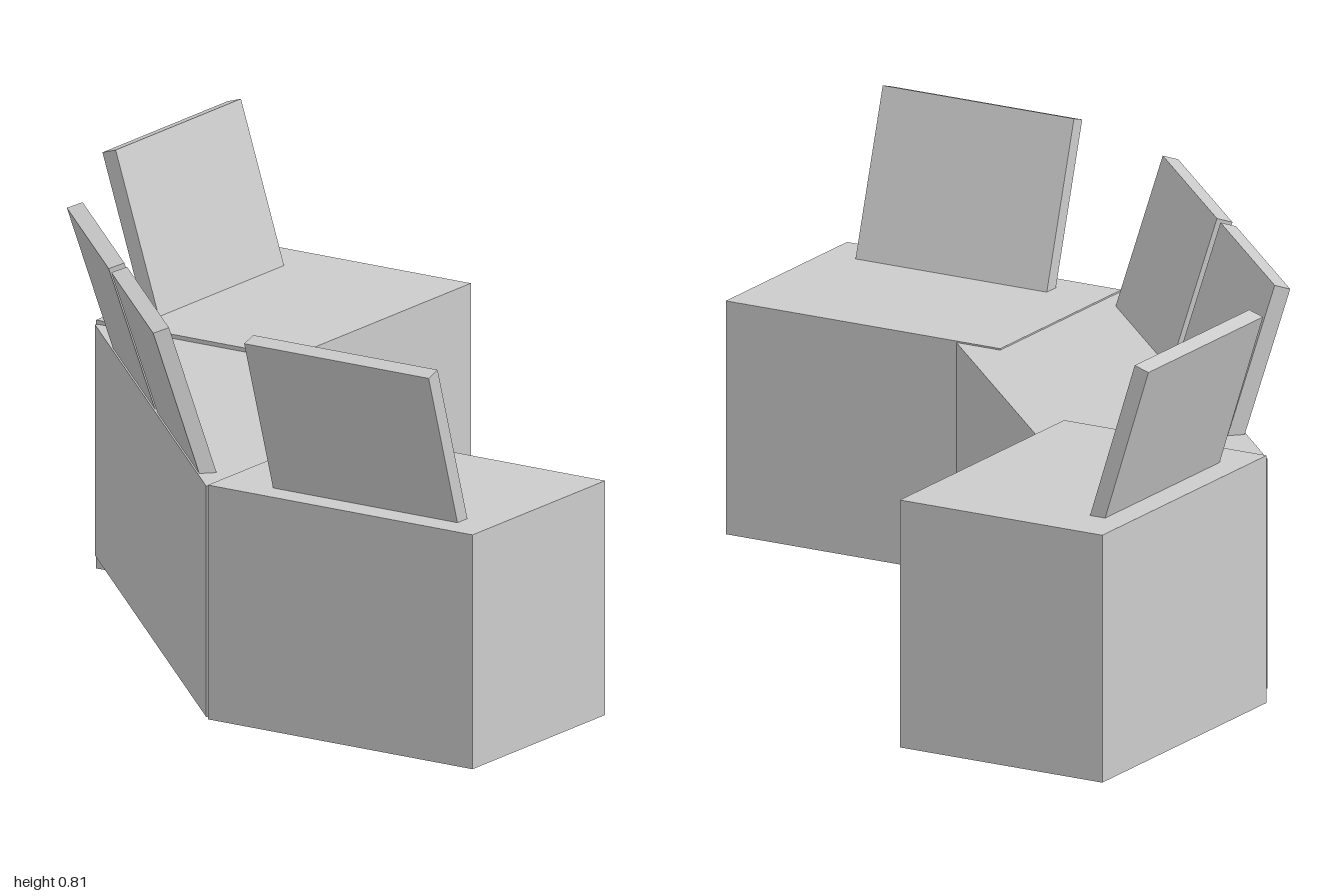
import * as THREE from 'three';

const TILT = 0.306; // backward lean of every screen
const material = new THREE.MeshStandardMaterial({ color: 0xcccccc, flatShading: true });

// Upright console block: depth on local x, length on local z
function block(name, x, z, yaw, depth, length, bottom, top) {
  const geometry = new THREE.BoxGeometry(depth, top - bottom, length);
  const mesh = new THREE.Mesh(geometry, material);
  mesh.name = name;
  mesh.position.set(x, (bottom + top) / 2, z);
  mesh.rotation.y = yaw;
  return mesh;
}

// Leaning screen, pivoted on the middle of its lower inner edge
function screen(name, x, y, z, yaw, height) {
  const thickness = 0.032;
  const geometry = new THREE.BoxGeometry(thickness, height, 0.425);
  geometry.translate(-thickness / 2, height / 2, 0);
  geometry.rotateZ(TILT);
  const mesh = new THREE.Mesh(geometry, material);
  mesh.name = name;
  mesh.position.set(x, y, z);
  mesh.rotation.y = yaw;
  return mesh;
}

export function createModel() {
  const model = new THREE.Group();
  model.name = 'console';

  // Middle desk block with its two side-by-side screens
  model.add(block('middleDesk', -0.14, 0, 0, 0.39, 1.13, 0.027, 0.485));
  for (const [name, z] of [['middleScreenBack', -0.187], ['middleScreenFront', 0.265]]) {
    model.add(screen(name, -0.298, 0.485, z, 0, 0.307));
  }

  // Angled end desks, each with one screen
  const a = Math.PI / 4;
  model.add(block('frontDesk', 0.0425, 0.625, a, 0.45, 0.61, 0.023, 0.488));
  model.add(screen('frontScreen', -0.04, 0.488, 0.738, a, 0.335));
  model.add(block('backDesk', 0.0425, -0.625, -a, 0.45, 0.61, 0, 0.493));
  model.add(screen('backScreen', -0.06, 0.493, -0.718, -a, 0.33));

  return model;
}
